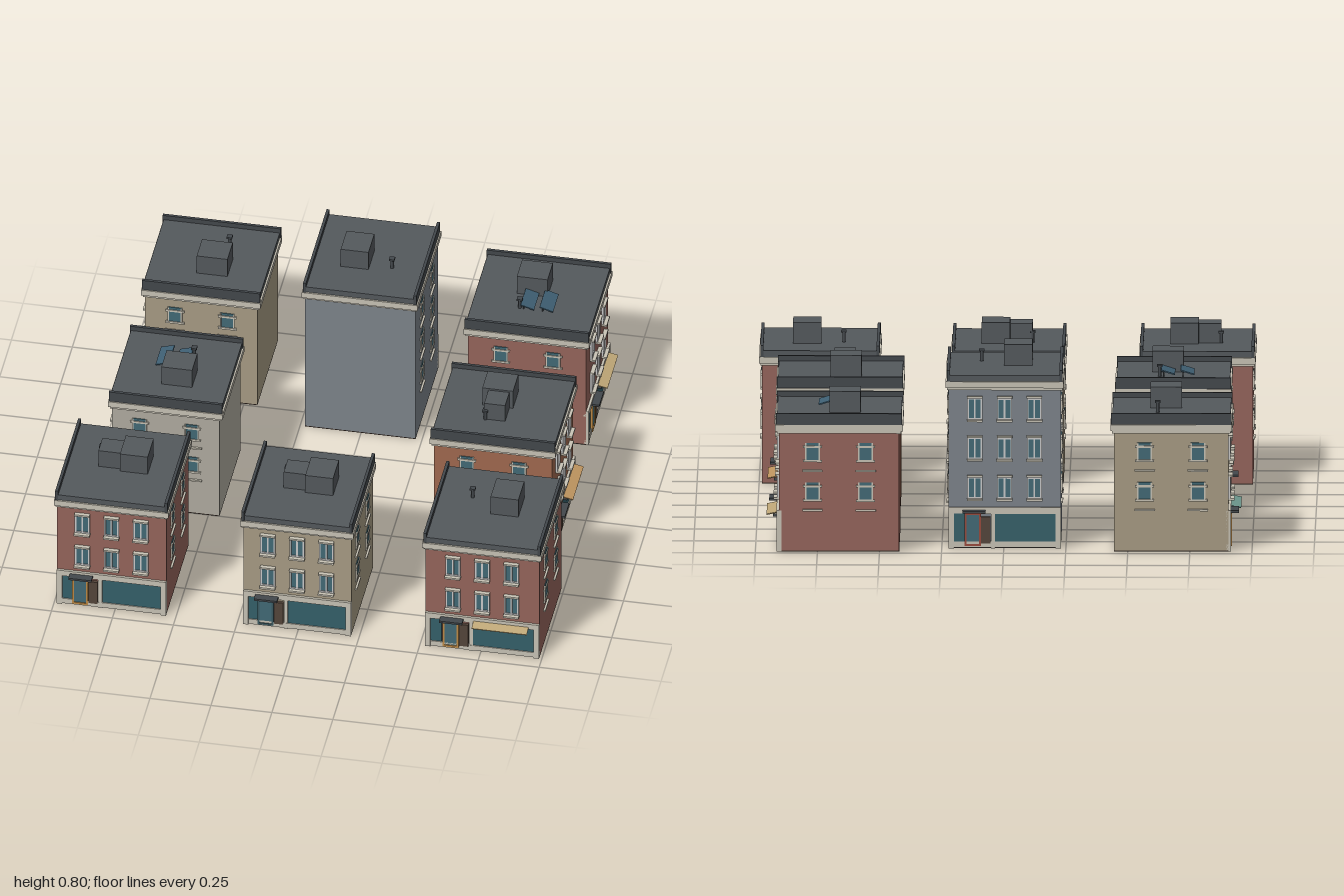
import * as THREE from 'three';

const mats = {};
function mat(color) {
  return (mats[color] ??= new THREE.MeshStandardMaterial({ color, side: THREE.DoubleSide }));
}

const RED = 0x96655b, TAN = 0xa89c84, ORANGE = 0xa0694f, SLATE = 0x7d848b, PALE = 0xb0aca0;
const TRIM = 0xc9c4b6, ROOF = 0x54595d, DARK = 0x43484c, GLASS = 0x426a76, SHOP = 0x35606a;
const FRAME = 0xc2c6c2, WOOD = 0xbd8a45, BROWN = 0x54453a, BASE = 0x3b2f28, PANEL = 0x3f6074;

function box(parent, name, color, w, h, d, x, y, z) {
  const m = new THREE.Mesh(new THREE.BoxGeometry(w, h, d), mat(color));
  m.name = name;
  m.position.set(x, y, z);
  parent.add(m);
  return m;
}

function group(parent, name, x = 0, y = 0, z = 0) {
  const g = new THREE.Group();
  g.name = name;
  g.position.set(x, y, z);
  parent.add(g);
  return g;
}

// Casement window facing +z, centred on its opening
function frontWindow(parent, x, y, z) {
  const g = group(parent, 'frontWindow', x, y, z);
  box(g, 'glass', GLASS, 0.058, 0.084, 0.008, 0, 0, 0);
  for (const u of [-0.027, 0, 0.027]) box(g, 'windowBar', FRAME, 0.007, 0.084, 0.016, u, 0, 0);
  for (const v of [-0.041, 0.041]) box(g, 'windowRail', FRAME, 0.06, 0.007, 0.016, 0, v, 0);
  box(g, 'lintel', TRIM, 0.062, 0.008, 0.034, 0, 0.048, 0);
  box(g, 'sill', TRIM, 0.064, 0.008, 0.046, 0, -0.048, 0);
}

// Sash window facing +z, with a separate sill below
function sideWindow(parent, x, y, z) {
  const g = group(parent, 'sideWindow', x, y, z);
  box(g, 'glass', GLASS, 0.056, 0.076, 0.006, 0, 0, 0);
  for (const u of [-0.027, 0.027]) box(g, 'sashSide', TRIM, 0.006, 0.076, 0.011, u, 0, 0);
  for (const v of [-0.036, 0.022]) box(g, 'sashRail', TRIM, 0.076, 0.009, 0.013, 0, v, 0);
  box(g, 'lowerSill', TRIM, 0.082, 0.007, 0.016, 0, -0.076, 0);
}

// Ground floor shopfront; f is the plane of the facade
function shopfront(parent, w, f, doorColor, awningColor) {
  const g = group(parent, 'shopfront', 0, 0, f);
  const in2 = w / 2;
  box(g, 'fascia', TRIM, w, 0.026, 0.02, 0, 0.155, 0);
  box(g, 'plinth', TRIM, w, 0.024, 0.018, 0, 0.016, 0);
  for (const s of [-1, 1]) box(g, 'pilaster', TRIM, 0.022, 0.168, 0.02, s * (in2 - 0.011), 0.084, 0);
  box(g, 'pier', TRIM, 0.016, 0.15, 0.016, -0.046, 0.075, 0);
  box(g, 'shopWindow', SHOP, in2 - 0.02 + 0.038, 0.114, 0.01, (in2 - 0.02 - 0.038) / 2, 0.085, 0);
  box(g, 'sideLight', SHOP, 0.046, 0.118, 0.01, 0.022 - in2 + 0.023, 0.084, 0);

  // Door with frame, leaf panel and hood
  box(g, 'doorGlass', GLASS, 0.05, 0.128, 0.018, -0.128, 0.076, 0);
  for (const u of [-0.157, -0.099]) box(g, 'doorJamb', doorColor, 0.008, 0.132, 0.026, u, 0.077, 0);
  box(g, 'doorHead', doorColor, 0.066, 0.008, 0.026, -0.128, 0.141, 0);
  box(g, 'doorFoot', doorColor, 0.058, 0.008, 0.026, -0.128, 0.014, 0);
  box(g, 'doorPanel', BROWN, 0.038, 0.108, 0.024, -0.075, 0.075, 0);
  box(g, 'doorHood', DARK, 0.094, 0.009, 0.044, -0.123, 0.153, 0.02);

  // Thin sloping awning on two brackets
  if (awningColor) {
    const a = box(g, 'awning', awningColor, 0.226, 0.004, 0.05, 0.078, 0.148, 0.025);
    a.rotation.x = 0.2;
    for (const u of [-0.026, 0.182]) box(g, 'awningBracket', DARK, 0.006, 0.012, 0.024, u, 0.139, 0.012);
  }
}

function rooftop(parent, w, d, top, extra) {
  const g = group(parent, 'rooftop', 0, top, 0);
  box(g, 'roofSlab', ROOF, w - 0.014, 0.025, d - 0.014, 0, 0.0125, 0);
  for (const s of [-1, 1])
    box(g, 'sideParapet', DARK, 0.012, 0.046, d - 0.006, s * (w / 2 - 0.011), 0.023, 0);
  box(g, 'stairHouse', ROOF, 0.114, 0.09, 0.126, 0.053, 0.066, -0.023);
  const pipe = new THREE.Mesh(new THREE.CylinderGeometry(0.007, 0.007, 0.042, 8), mat(DARK));
  pipe.name = 'ventPipe';
  pipe.position.set(-0.095, 0.045, -0.056);
  g.add(pipe);
  box(g, 'ventCap', DARK, 0.022, 0.008, 0.022, -0.095, 0.069, -0.056);
  if (extra === 'annex') box(g, 'roofAnnex', ROOF, 0.09, 0.084, 0.086, -0.05, 0.062, -0.018);
  if (extra === 'panels') {
    for (const z of [-0.022, 0.056]) {
      const p = box(g, 'roofPanel', PANEL, 0.12, 0.005, 0.058, -0.056, 0.045, z);
      p.rotation.x = 0.3;
      for (const x of [-0.1, -0.012]) box(g, 'panelLeg', DARK, 0.005, 0.026, 0.005, x, 0.036, z - 0.018);
    }
  }
}

// One house facing +z; w and d are the cornice size
function building(o) {
  const g = new THREE.Group();
  g.name = o.name;
  const { w, d, floors } = o;
  const bw = w - 0.022, bd = d - 0.03;
  const bodyTop = 0.168 + floors * 0.1635;
  box(g, 'walls', o.color, bw, bodyTop - 0.004, bd, 0, bodyTop / 2 + 0.002, 0);
  box(g, 'foundation', BASE, bw, 0.004, bd, 0, 0.002, 0);
  box(g, 'cornice', TRIM, w, 0.026, d, 0, bodyTop + 0.013, 0);
  box(g, 'corniceMoulding', TRIM, w - 0.01, 0.01, d - 0.014, 0, bodyTop - 0.005, 0);
  rooftop(g, w, d, bodyTop + 0.026, o.extra);
  shopfront(g, bw, bd / 2, o.door ?? WOOD, o.awning);

  const sides = [-1, 1].map((s) => {
    const side = group(g, s < 0 ? 'rightWallWindows' : 'leftWallWindows', s * bw / 2, 0, 0);
    side.rotation.y = s * Math.PI / 2;
    return side;
  });
  for (let i = 0; i < floors; i++) {
    const y = 0.248 + i * 0.162;
    for (const x of [-0.12, 0, 0.12]) frontWindow(g, x, y, bd / 2);
    for (const side of sides) for (const x of [-0.107, 0.107]) sideWindow(side, x, y - 0.002, 0);
  }
  g.position.set(o.x, 0, o.z);
  g.rotation.y = o.turn * Math.PI / 2;
  return g;
}

export function createModel() {
  const model = new THREE.Group();
  model.name = 'cityBlock';
  // turn: 0 faces +z, 1 faces +x, 2 faces -z, -1 faces -x
  const plots = [
    { name: 'frontRightHouse', x: -0.765, z: 0.7, turn: 0, w: 0.47, d: 0.5, color: RED, extra: 'annex' },
    { name: 'frontMiddleHouse', x: -0.005, z: 0.7, turn: 0, w: 0.465, d: 0.49, color: TAN, extra: 'annex', door: 0x3b5a62 },
    { name: 'frontLeftHouse', x: 0.755, z: 0.7, turn: 0, w: 0.49, d: 0.5, color: RED, awning: 0xc0a878 },
    { name: 'leftMiddleHouse', x: 0.667, z: 0.026, turn: 1, w: 0.47, d: 0.515, color: ORANGE, extra: 'annex', awning: 0xc09660 },
    { name: 'backLeftHouse', x: 0.663, z: -0.733, turn: 1, w: 0.494, d: 0.515, color: RED, extra: 'panels', awning: 0xc0a878 },
    { name: 'backMiddleHouse', x: -0.003, z: -0.646, turn: 2, w: 0.475, d: 0.51, color: SLATE, floors: 3, door: 0x9a4a3c },
    { name: 'backRightHouse', x: -0.675, z: -0.73, turn: -1, w: 0.465, d: 0.49, color: TAN, awning: 0x6f9a90 },
    { name: 'rightMiddleHouse', x: -0.675, z: 0.026, turn: -1, w: 0.47, d: 0.47, color: PALE, extra: 'panels', door: 0x3b5a62 },
  ];
  for (const p of plots) model.add(building({ floors: 2, ...p }));
  return model;
}
